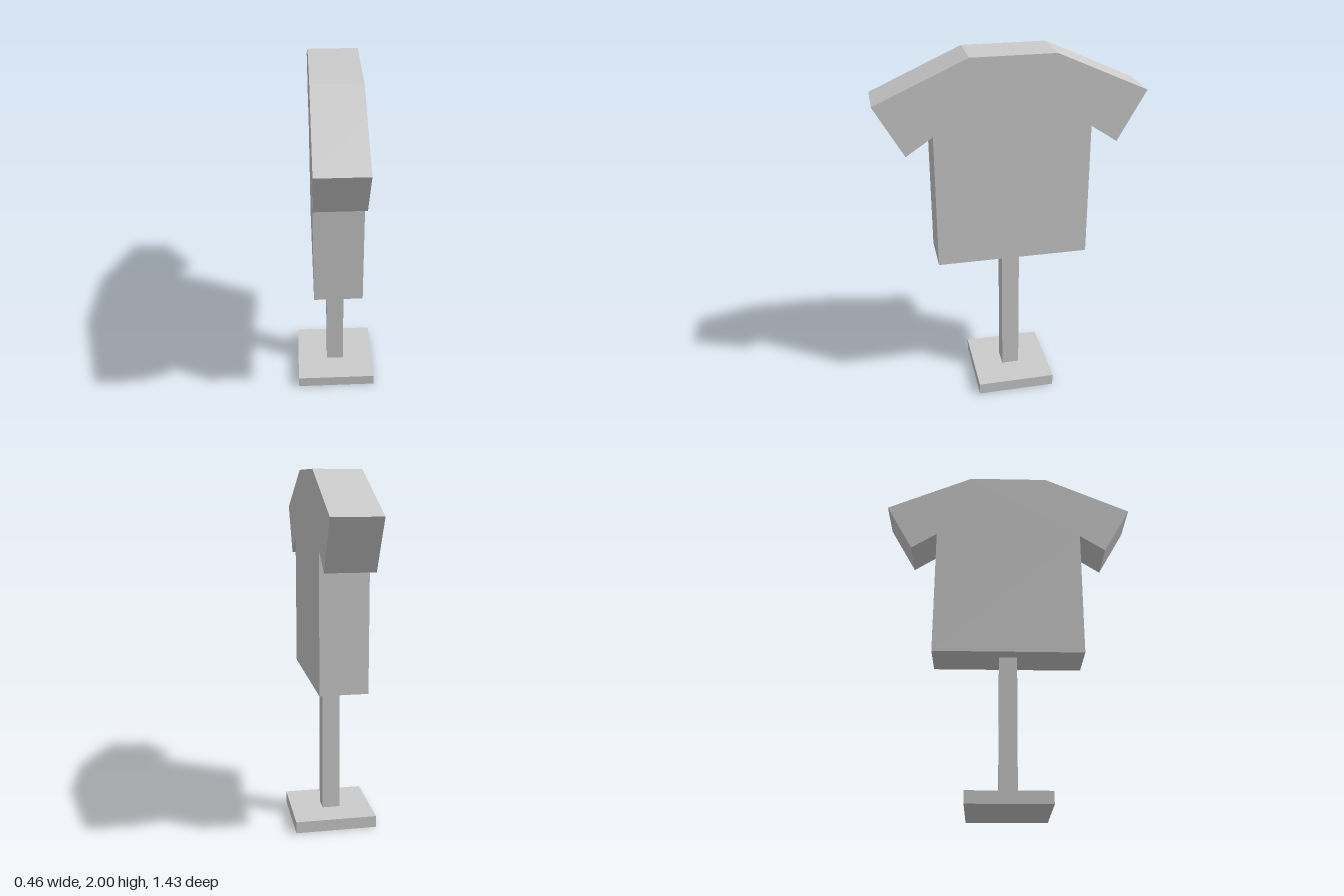
import * as THREE from 'three';

export function createModel() {
  const model = new THREE.Group();
  const grey = new THREE.MeshStandardMaterial({ color: 0xcccccc });
  grey.name = 'light grey';

  const add = (name, geometry, y) => {
    const mesh = new THREE.Mesh(geometry, grey);
    mesh.name = name;
    mesh.position.y = y;
    model.add(mesh);
  };

  // Square foot and post
  add('base', new THREE.BoxGeometry(0.46, 0.066, 0.444), 0.033);
  add('post', new THREE.BoxGeometry(0.1, 0.79, 0.1), 0.46);

  // Shirt-shaped board: half outline from hem to collar, mirrored
  const half = [
    [0.42, 0.853], [0.42, 1.602], [0.564, 1.506],
    [0.717, 1.78], [0.4, 1.922], [0.225, 2],
  ];
  const outline = [...half, ...half.map(([x, y]) => [-x, y]).reverse()];
  const shape = new THREE.Shape(outline.map(([x, y]) => new THREE.Vector2(x, y)));
  const board = new THREE.ExtrudeGeometry(shape, { depth: 0.26, bevelEnabled: false });
  board.translate(0, 0, -0.13);
  board.rotateY(Math.PI / 2);
  add('shirtBoard', board, 0);

  return model;
}
